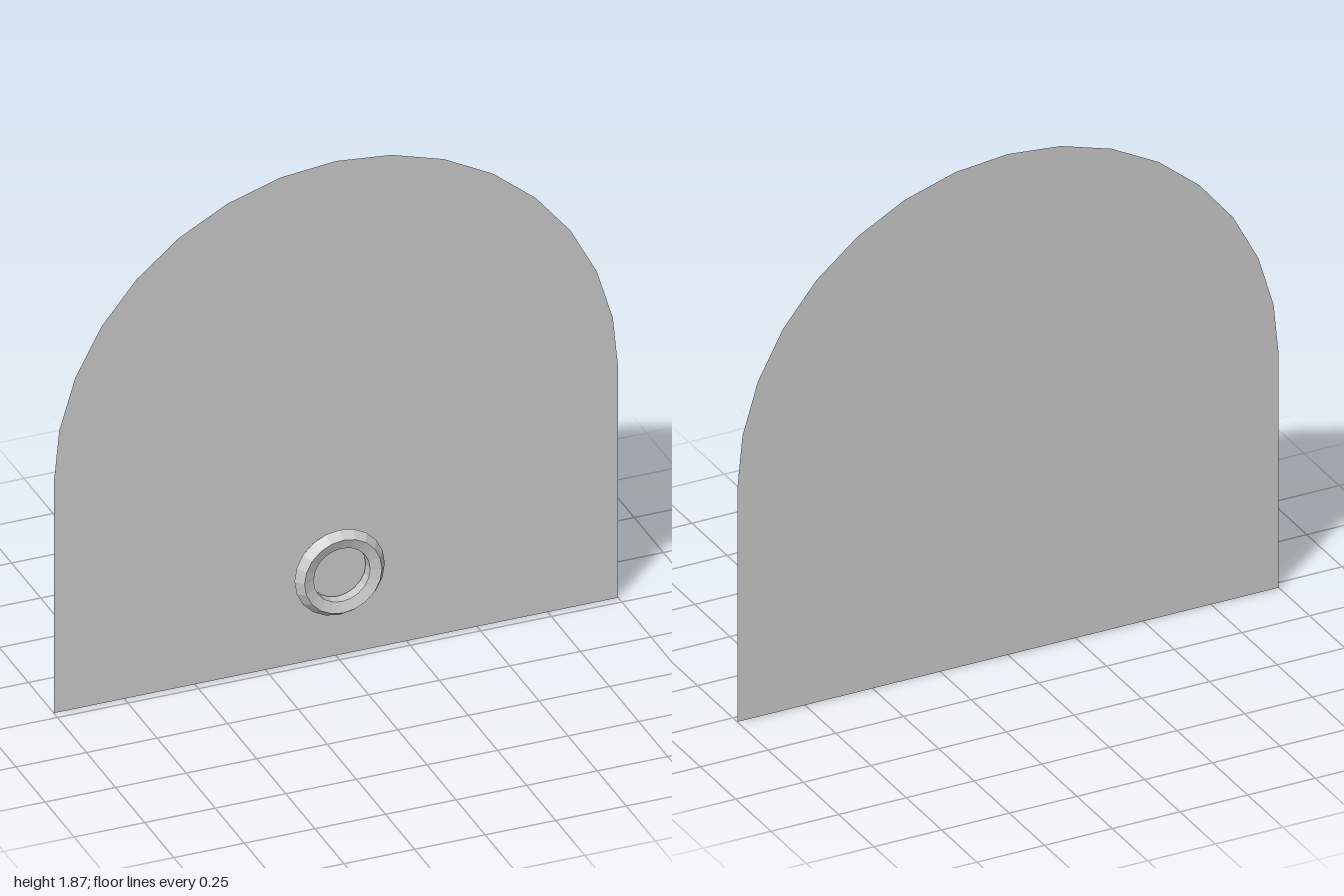
import * as THREE from 'three';

const WIDTH = 2;
const RADIUS = WIDTH / 2;
const SPRING = 0.865;          // height where the arch begins
const RING_R = 0.127;
const TUBE_R = 0.033;
const RING_Y = 0.33;
const BACK_Z = -TUBE_R * Math.sin(THREE.MathUtils.degToRad(72)); // rear edge of the ring

export function createModel() {
  const model = new THREE.Group();
  model.name = 'archedPanelWithRing';

  // Thin panel: straight sides and a half-round top in 16 facets
  const outline = new THREE.Shape();
  outline.moveTo(-RADIUS, 0);
  outline.lineTo(RADIUS, 0);
  for (let i = 0; i <= 16; i++) {
    const a = (i / 16) * Math.PI;
    outline.lineTo(RADIUS * Math.cos(a), SPRING + RADIUS * Math.sin(a));
  }
  const panel = new THREE.Mesh(
    new THREE.ShapeGeometry(outline),
    new THREE.MeshStandardMaterial({ color: 0xcccccc, side: THREE.DoubleSide })
  );
  panel.name = 'panel';
  panel.position.z = BACK_Z;
  model.add(panel);

  // Faceted ring with a five-sided section, resting on the panel's front
  const ring = new THREE.Mesh(
    new THREE.TorusGeometry(RING_R, TUBE_R, 5, 20),
    new THREE.MeshStandardMaterial({ color: 0xcccccc, flatShading: true })
  );
  ring.name = 'ring';
  ring.position.y = RING_Y;
  model.add(ring);

  return model;
}
